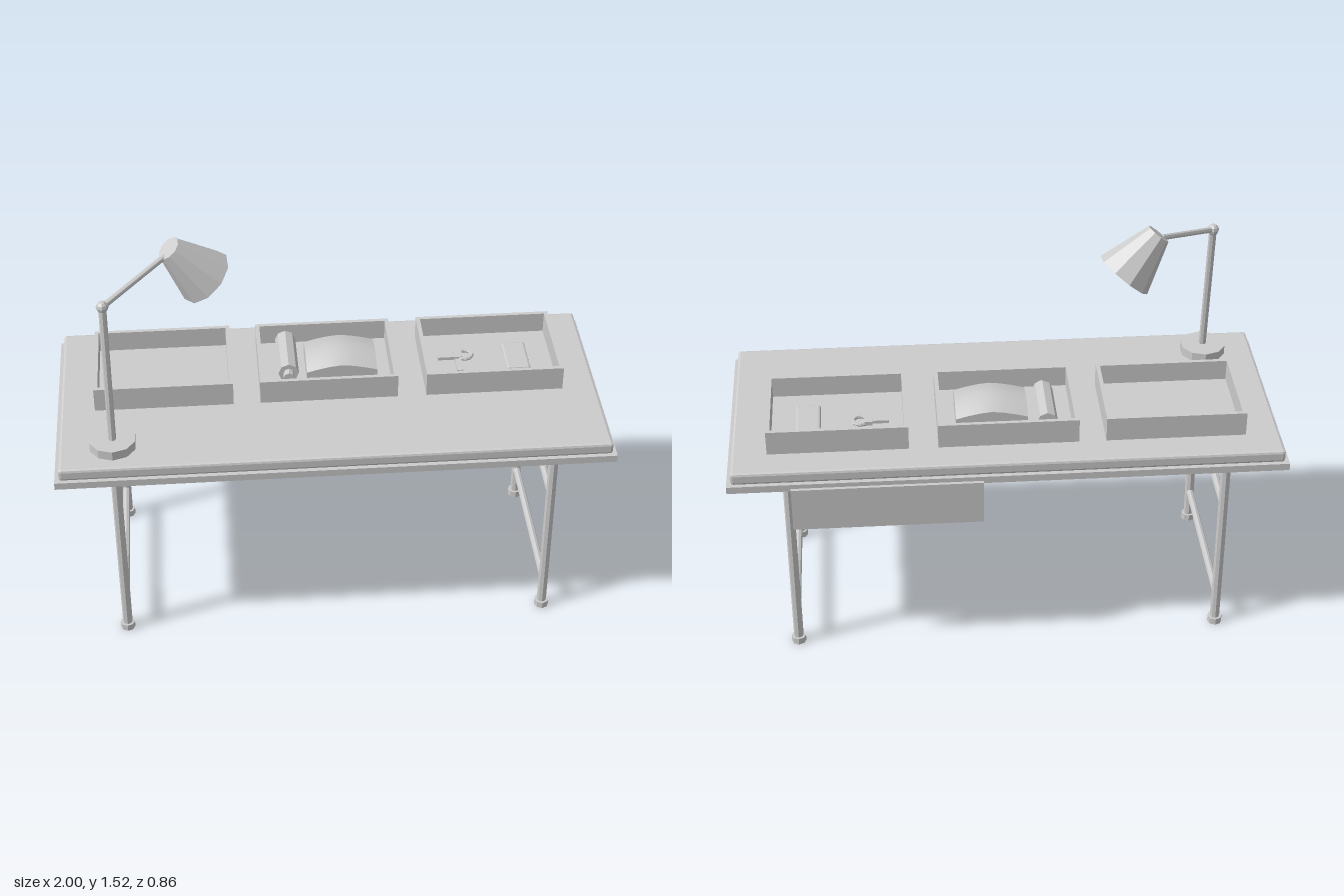
import * as THREE from 'three';
import { RoundedBoxGeometry } from 'three/addons/geometries/RoundedBoxGeometry.js';

const flat = new THREE.MeshStandardMaterial({ color: 0xcccccc, flatShading: true });
const smooth = new THREE.MeshStandardMaterial({ color: 0xcccccc });

export function createModel() {
  const model = new THREE.Group();

  const add = (name, geometry, x = 0, y = 0, z = 0, material = flat, parent = model) => {
    const mesh = new THREE.Mesh(geometry, material);
    mesh.name = name;
    mesh.position.set(x, y, z);
    parent.add(mesh);
    return mesh;
  };
  // Box given by its minimum and maximum corners
  const box = (name, a, b, parent = model) =>
    add(name, new THREE.BoxGeometry(b[0] - a[0], b[1] - a[1], b[2] - a[2]),
      (a[0] + b[0]) / 2, (a[1] + b[1]) / 2, (a[2] + b[2]) / 2, flat, parent);
  // Rod or cone between two points
  const rod = (name, a, b, rA, rB = rA, sides = 8, parent = model) => {
    const p = new THREE.Vector3(...a), q = new THREE.Vector3(...b);
    const mid = p.clone().add(q).multiplyScalar(0.5);
    const mesh = add(name, new THREE.CylinderGeometry(rB, rA, p.distanceTo(q), sides),
      mid.x, mid.y, mid.z, flat, parent);
    mesh.quaternion.setFromUnitVectors(new THREE.Vector3(0, 1, 0), q.sub(p).normalize());
    return mesh;
  };

  // Table top: frame slab below, bevelled board above
  box('tableFrame', [-1, 0.76, -0.418], [1, 0.787, 0.432]);
  add('tableTop', new RoundedBoxGeometry(1.97, 0.046, 0.83, 1, 0.01), 0, 0.81, 0.007);

  // Folding legs, one frame at each end
  for (const s of [-1, 1]) {
    const frame = new THREE.Group();
    frame.name = s < 0 ? 'rightLegFrame' : 'leftLegFrame';
    model.add(frame);
    const x = s * 0.79;
    for (const z of [0.34, -0.322]) {
      rod('leg', [x, 0, z], [x, 0.765, z], 0.018, 0.018, 8, frame);
      rod('foot', [x, 0, z], [x, 0.026, z], 0.027, 0.027, 8, frame);
    }
    for (const y of [0.135, 0.55])
      rod('crossRail', [x, y, -0.322], [x, y, 0.34], 0.014, 0.014, 8, frame);
    rod('brace', [x, 0.553, 0.01], [s * 0.355, 0.755, 0.01], 0.012, 0.012, 8, frame);
  }

  // Blank sign board hung on the back edge
  box('signBoard', [0.095, 0.6, -0.43], [0.775, 0.77, -0.418]);

  // Three open trays
  const z0 = -0.29, z1 = 0.08, y0 = 0.832, y1 = 0.925, w = 0.015;
  for (const x0 of [-0.86, -0.257, 0.353]) {
    const x1 = x0 + 0.505;
    const tray = new THREE.Group();
    tray.name = 'tray';
    model.add(tray);
    box('trayFloor', [x0, y0, z0], [x1, y0 + 0.014, z1], tray);
    box('traySide', [x0, y0, z0], [x0 + w, y1, z1], tray);
    box('traySide', [x1 - w, y0, z0], [x1, y1, z1], tray);
    box('trayBack', [x0 + w, y0, z0], [x1 - w, y1, z0 + w], tray);
    box('trayFront', [x0 + w, y0, z1 - w], [x1 - w, y1, z1], tray);
  }

  // Folded soft bundle: box top swells toward the middle
  const bundle = new THREE.BoxGeometry(0.26, 0.06, 0.195, 6, 1, 6);
  const pos = bundle.attributes.position;
  for (let i = 0; i < pos.count; i++) {
    if (pos.getY(i) < 0) continue;
    const u = pos.getX(i) / 0.13, v = pos.getZ(i) / 0.0975;
    pos.setY(i, 0.07 - 0.026 * Math.abs(u) ** 1.5 - 0.026 * Math.abs(v) ** 1.5);
  }
  bundle.computeVertexNormals();
  add('bundle', bundle, 0.05, 0.875, -0.108, smooth);

  // Bottle lying on its side
  rod('bottle', [-0.147, 0.888, -0.238], [-0.147, 0.888, -0.02], 0.038);
  rod('bottleCap', [-0.147, 0.888, -0.02], [-0.147, 0.888, 0.01], 0.02);

  // Keys on a ring
  const ring = add('keyRing', new THREE.TorusGeometry(0.027, 0.007, 6, 12), 0.522, 0.855, -0.13);
  ring.rotation.x = Math.PI / 2;
  box('keyBlade', [0.42, 0.846, -0.14], [0.505, 0.858, -0.113]);
  box('keyBlade', [0.482, 0.846, -0.122], [0.505, 0.855, -0.035]);
  box('keyBow', [0.48, 0.846, -0.152], [0.51, 0.862, -0.108]);

  // Phone
  add('phone', new RoundedBoxGeometry(0.09, 0.018, 0.165, 1, 0.008), 0.711, 0.854, -0.107);

  // Desk lamp
  const lamp = new THREE.Group();
  lamp.name = 'lamp';
  model.add(lamp);
  const elbow = [-0.793, 1.39, 0.233], neck = [-0.575, 1.465, 0.05];
  rod('lampBase', [-0.793, 0.832, 0.29], [-0.793, 0.868, 0.29], 0.085, 0.085, 10, lamp);
  rod('lampPole', [-0.793, 0.865, 0.295], elbow, 0.014, 0.014, 8, lamp);
  add('lampJoint', new THREE.SphereGeometry(0.022, 8, 6), ...elbow, flat, lamp);
  rod('lampArm', elbow, neck, 0.011, 0.011, 8, lamp);
  rod('lampShade', [-0.437, 1.343, 0.004], [-0.56, 1.488, 0.035], 0.108, 0.045, 10, lamp);

  return model;
}
